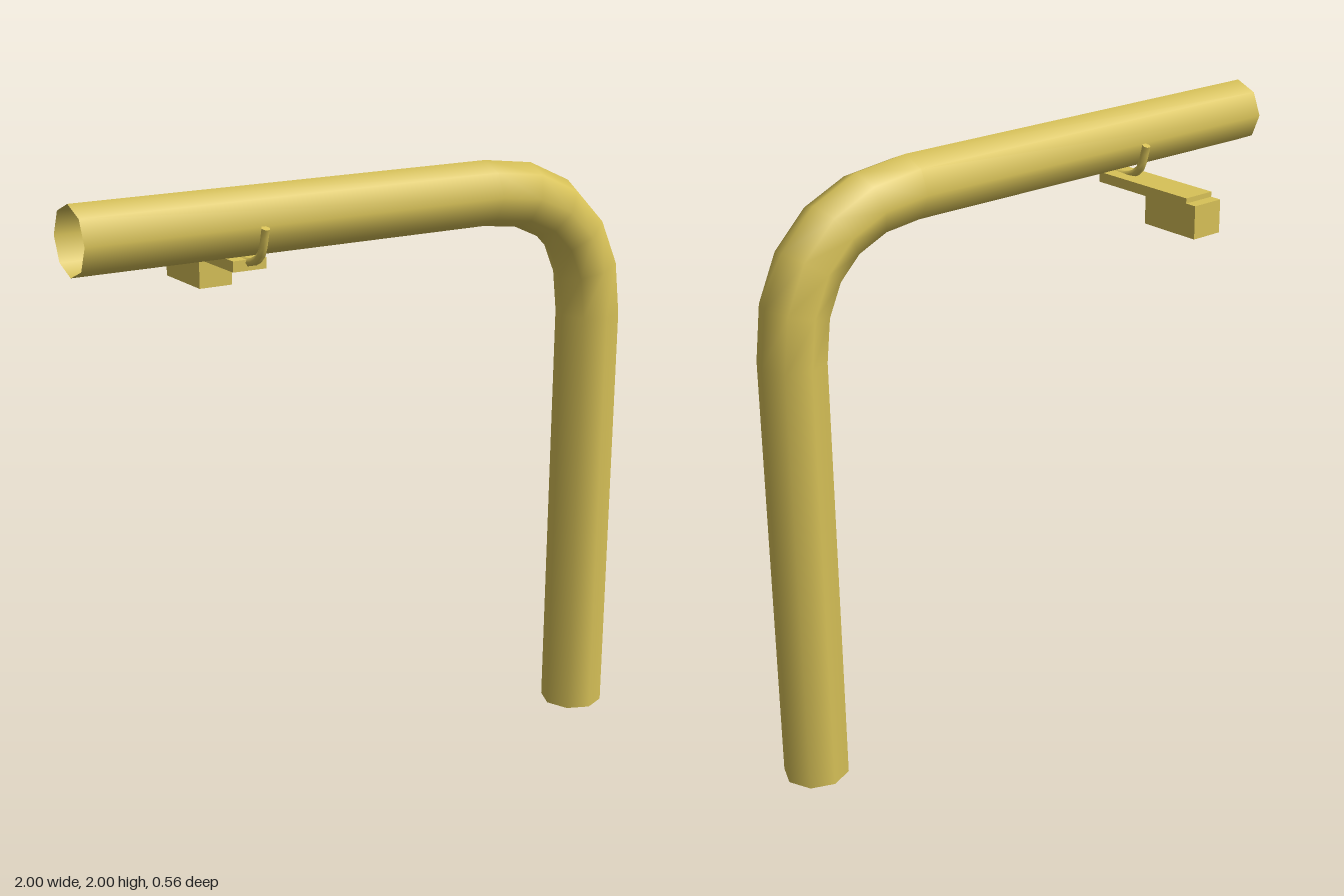
import * as THREE from 'three';

const R = 0.107;      // pipe radius
const Z = 0.136;      // depth of the pipe axis
const SIDES = 8;

// Bends an open cylinder so that each ring sits on one station of the pipe axis
function bentPipe() {
  const top = 2 - R, side = 1 - R, start = 0.448, end = 1.445, k = 0.64;
  const bend = new THREE.CubicBezierCurve(
    new THREE.Vector2(start, top),
    new THREE.Vector2(start + (side - start) * k, top),
    new THREE.Vector2(side, end + (top - end) * k),
    new THREE.Vector2(side, end));
  const stations = [{ p: new THREE.Vector2(-1, top), t: new THREE.Vector2(1, 0) }];
  for (let i = 0; i <= 5; i++) stations.push({ p: bend.getPoint(i / 5), t: bend.getTangent(i / 5) });
  stations.push({ p: new THREE.Vector2(side, 0), t: new THREE.Vector2(0, -1) });

  const geo = new THREE.CylinderGeometry(R, R, 1, SIDES, stations.length - 1, true);
  const pos = geo.attributes.position, nor = geo.attributes.normal;
  for (let i = 0; i < pos.count; i++) {
    const { p, t } = stations[Math.floor(i / (SIDES + 1))];
    const a = pos.getX(i), b = pos.getZ(i);
    pos.setXYZ(i, p.x - t.y * a, p.y + t.x * a, Z + b);
    nor.setXYZ(i, -t.y * a / R, t.x * a / R, b / R);
  }
  return geo;
}

export function createModel() {
  const model = new THREE.Group();
  const paint = new THREE.MeshStandardMaterial({ color: 0xd8c258 });
  paint.name = 'yellowPaint';
  const openPaint = paint.clone();
  openPaint.side = THREE.DoubleSide;

  const add = (name, geo, mat = paint) => {
    const mesh = new THREE.Mesh(geo, mat);
    mesh.name = name;
    model.add(mesh);
    return mesh;
  };
  const box = (name, x0, x1, y0, y1, z0, z1) =>
    add(name, new THREE.BoxGeometry(x1 - x0, y1 - y0, z1 - z0))
      .position.set((x0 + x1) / 2, (y0 + y1) / 2, (z0 + z1) / 2);

  // Hollow post and arm
  add('bentPipe', bentPipe(), openPaint);

  // Bracket under the arm, with the block hung behind it
  box('bracketPlate', -0.49, -0.376, 1.748, 1.782, -0.24, 0.165);
  box('hangingBlock', -0.49, -0.376, 1.655, 1.765, -0.28, -0.055);

  // Rod clamp cradling the pipe
  const half = [[0.131, 1.893], [0.103, 1.81], [0.055, 1.78]];
  const points = [
    ...half.map(([z, y]) => new THREE.Vector3(-0.434, y, Z + z)),
    new THREE.Vector3(-0.434, 1.772, Z),
    ...half.slice().reverse().map(([z, y]) => new THREE.Vector3(-0.434, y, Z - z)),
  ];
  add('clampRod', new THREE.TubeGeometry(new THREE.CatmullRomCurve3(points), 14, 0.014, 6), openPaint);
  // Rod ends
  for (const s of [1, -1]) {
    const cap = add('clampRodEnd', new THREE.CircleGeometry(0.014, 6), openPaint);
    cap.position.set(-0.434, 1.893, Z + s * 0.131);
    cap.rotation.x = -Math.PI / 2 + s * 0.33;
  }
  return model;
}
